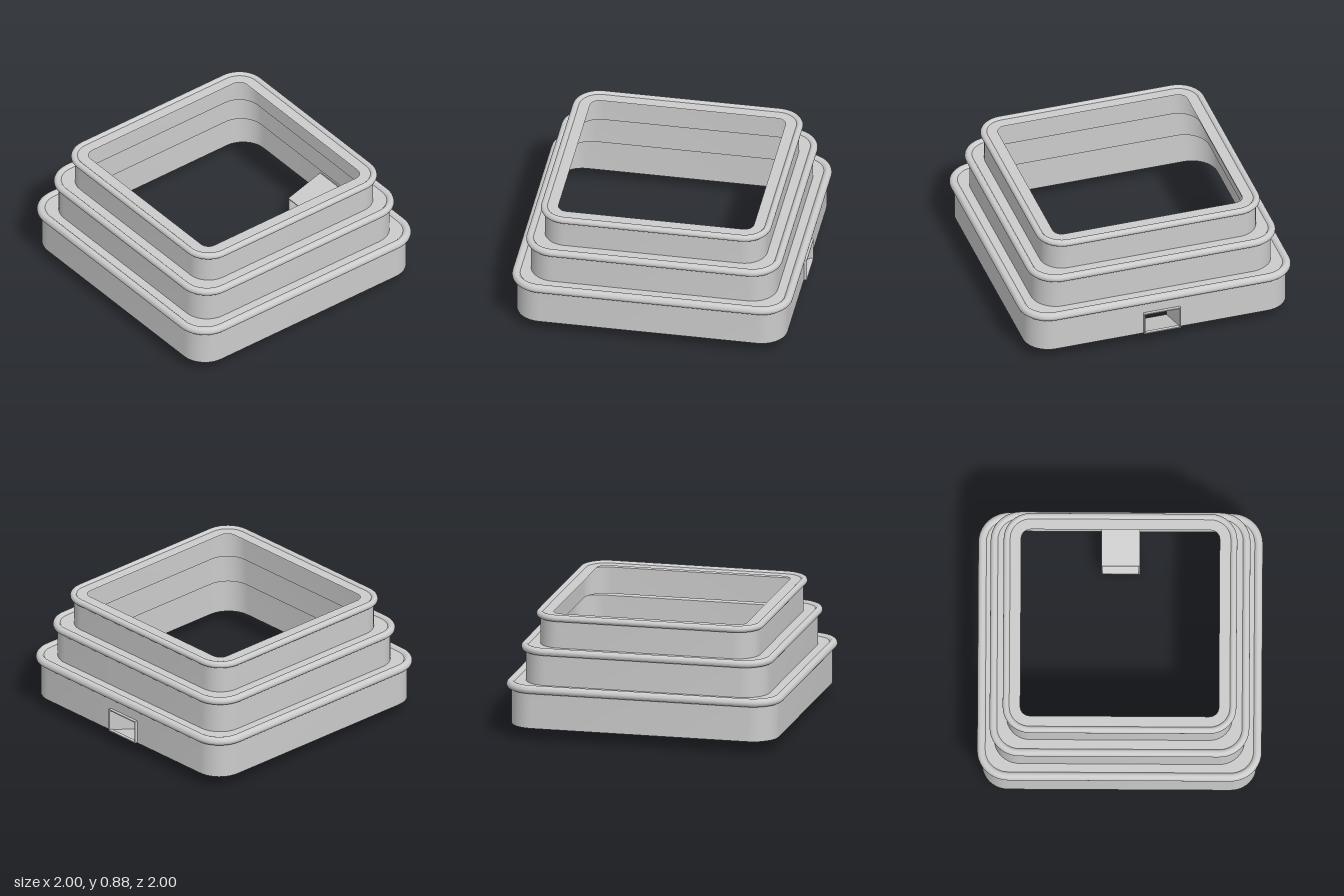
import * as THREE from 'three';
import { toCreasedNormals } from 'three/addons/utils/BufferGeometryUtils.js';

const material = new THREE.MeshStandardMaterial({ color: 0xcccccc, side: THREE.DoubleSide });
const CHUTE = { half: 0.135, back: -0.965, inner: -0.68, bottom: 0.1, top: 0.27, drop: 0.092 };

// Rounded square of half width d with corner centres at c; two extra points bound the chute on the back edge
function outline(d, c) {
  const pts = [], steps = 10;
  for (let k = 0; k < 4; k++) {
    const sx = k === 0 || k === 3 ? 1 : -1, sz = k < 2 ? -1 : 1;
    for (let i = 0; i <= steps; i++) {
      const a = (k + i / steps) * Math.PI / 2;
      pts.push([sx * c + (d - c) * Math.cos(a), sz * c - (d - c) * Math.sin(a)]);
    }
    if (k === 0) pts.push([CHUTE.half, -d], [-CHUTE.half, -d]);
  }
  return pts;
}

// Sweep a profile of [half width, height, corner centre] round the square; skip(j, i) leaves a hole
function sweep(profile, skip) {
  const pos = [], idx = [];
  let n = 0;
  for (const [d, y, c] of profile) {
    const ring = outline(d, c);
    n = ring.length;
    for (const [x, z] of ring) pos.push(x, y, z);
  }
  for (let j = 0; j < profile.length - 1; j++) {
    for (let i = 0; i < n; i++) {
      if (skip(j, i)) continue;
      const a = j * n + i, b = j * n + (i + 1) % n;
      idx.push(a, b, b + n, a, b + n, a + n);
    }
  }
  const g = new THREE.BufferGeometry();
  g.setAttribute('position', new THREE.Float32BufferAttribute(pos, 3));
  g.setIndex(idx);
  return toCreasedNormals(g, 0.6);
}

function add(parent, name, geometry) {
  const mesh = new THREE.Mesh(geometry, material);
  mesh.name = name;
  parent.add(mesh);
  return mesh;
}

export function createModel() {
  const model = new THREE.Group();
  model.name = 'steppedFrame';

  // Each tier: wall, rolled rim, then a ledge running in to the next tier
  const tiers = [
    { name: 'lowerTier', wall: 0.965, c: 0.78, base: 0.1, top: 0.413, rim: 1.0, r: 0.03 },
    { name: 'middleTier', wall: 0.88, c: 0.7, base: 0.395, top: 0.667, rim: 0.913, r: 0.027 },
    { name: 'upperTier', wall: 0.793, c: 0.63, base: 0.65, top: 0.89, rim: 0.821, r: 0.024 },
  ];
  const opening = { wall: 0.698, c: 0.63, base: 0.876 };
  tiers.forEach((t, k) => {
    const next = tiers[k + 1] || opening;
    const profile = [[t.wall, t.base, t.c]];
    if (k === 0) profile.push([t.wall, CHUTE.top - 0.01, t.c]);
    profile.push([t.wall, t.top - 2 * t.r, t.c]);
    for (let i = 0; i <= 12; i++) {
      const a = -Math.PI / 2 + i / 12 * Math.PI * 1.15;
      profile.push([t.rim - t.r + t.r * Math.cos(a), t.top - t.r + t.r * Math.sin(a), t.c]);
    }
    profile.push([t.rim - 1.9 * t.r, next.base, t.c], [next.wall, next.base, next.c]);
    // The lower wall is open where the chute enters
    add(model, t.name, sweep(profile, (j, i) => k === 0 && j === 0 && i === 11));
  });

  // Sloping open chute through the back wall
  const chute = new THREE.Group();
  chute.name = 'chute';
  const { half, back, inner, bottom, top, drop } = CHUTE;
  const section = new THREE.Shape();
  section.moveTo(-half, bottom).lineTo(half, bottom).lineTo(half, top).lineTo(-half, top).closePath();
  const hole = new THREE.Path();
  const t = 0.008;
  hole.moveTo(-half + t, bottom + t).lineTo(-half + t, top - t).lineTo(half - t, top - t).lineTo(half - t, bottom + t).closePath();
  section.holes.push(hole);
  const tube = new THREE.ExtrudeGeometry(section, { depth: inner - back, bevelEnabled: false });
  const p = tube.attributes.position;
  for (let i = 0; i < p.count; i++) p.setY(i, p.getY(i) - drop * p.getZ(i) / (inner - back));
  tube.translate(0, 0, back);
  tube.computeVertexNormals();
  add(chute, 'chuteTube', tube);

  // Raised collar round the outer mouth
  const collar = new THREE.ExtrudeGeometry(section, { depth: 0.025, bevelEnabled: false });
  add(chute, 'chuteCollar', collar.translate(0, 0.003, back - 0.022));
  model.add(chute);
  return model;
}
